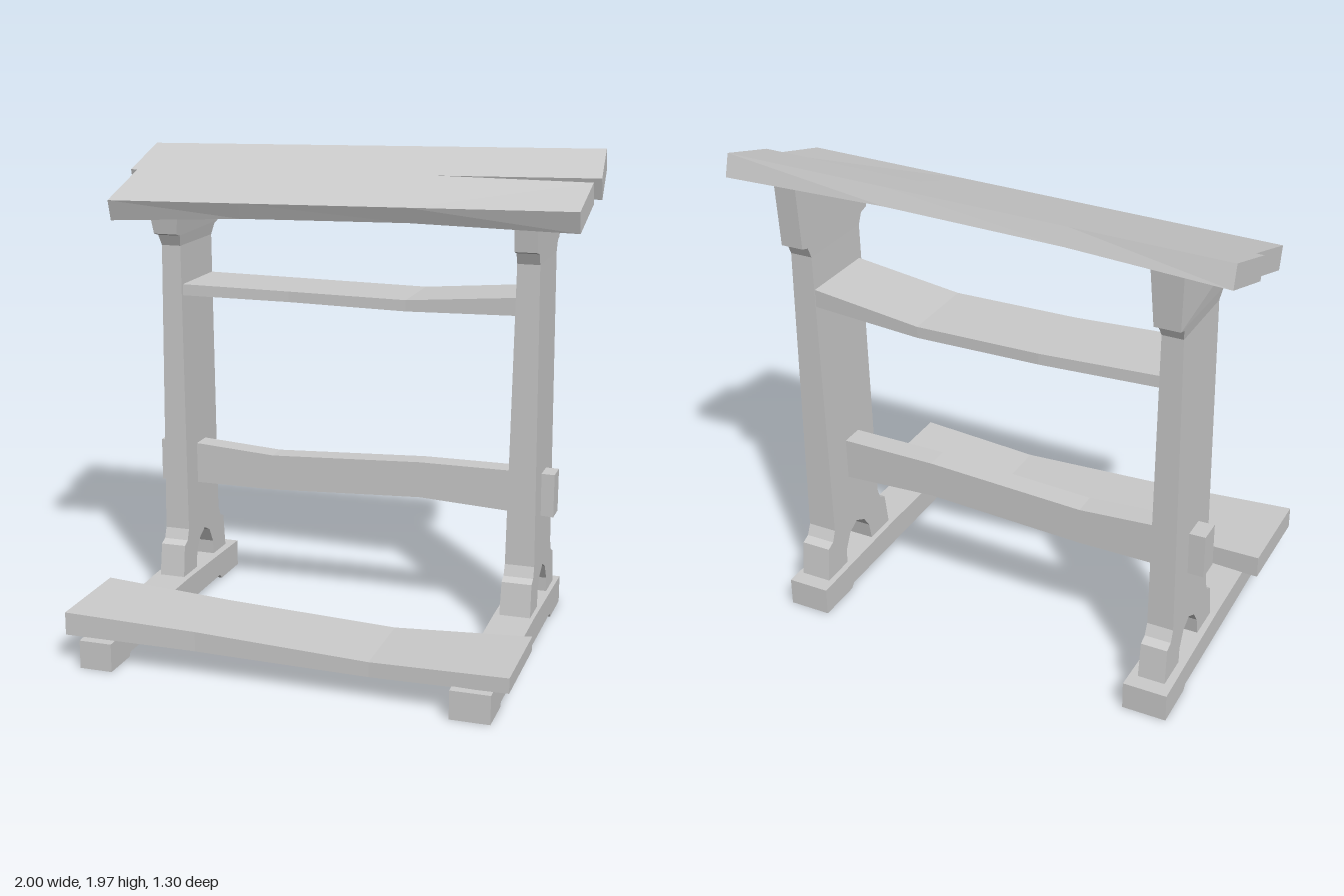
import * as THREE from 'three';

const material = new THREE.MeshStandardMaterial({ color: 0xcccccc, flatShading: true });

// Moves every vertex by a rule and makes a flat-shaded mesh.
function warp(name, geometry, rule) {
  const geo = geometry.index ? geometry.toNonIndexed() : geometry;
  const pos = geo.attributes.position;
  for (let i = 0; i < pos.count; i++) {
    pos.setXYZ(i, ...rule(pos.getX(i), pos.getY(i), pos.getZ(i)));
  }
  geo.computeVertexNormals();
  const mesh = new THREE.Mesh(geo, material);
  mesh.name = name;
  return mesh;
}

function extrude(points) {
  const shape = new THREE.Shape(points.map(([x, y]) => new THREE.Vector2(x, y)));
  return new THREE.ExtrudeGeometry(shape, { depth: 1, bevelEnabled: false });
}

// Side profile in (z, y), given a thickness in x by half(z, y) about a centre.
function sidePart(name, profile, centre, half) {
  return warp(name, extrude(profile), (z, y, w) => [centre + half(z, y) * (1 - 2 * w), y, z]);
}

// Uneven board along x; each station is [x, yLow, yHigh, zBack, zFront].
function board(name, stations) {
  const n = stations.length - 1;
  return warp(name, new THREE.BoxGeometry(1, 1, 1, n, 1, 1), (x, y, z) => {
    const [px, y0, y1, z0, z1] = stations[Math.round((x + 0.5) * n)];
    return [px, y < 0 ? y0 : y1, z < 0 ? z0 : z1];
  });
}

export function createModel() {
  const group = new THREE.Group();

  // Feet: long runners with a pad at each end
  const foot = [
    [0.65, 0], [0.65, 0.115], [0.2, 0.12], [-0.1, 0.125], [-0.4, 0.12], [-0.65, 0.115],
    [-0.65, 0], [-0.46, 0], [-0.44, 0.02], [0, 0.018], [0.48, 0.018], [0.49, 0],
  ];
  group.add(
    sidePart('rightFoot', foot, -0.75, (z) => 0.078 - 0.017 * z),
    sidePart('leftFoot', foot, 0.752, (z) => 0.082 - 0.006 * z),
  );

  // Uprights: flared head and base, arched opening at the bottom
  const arch = [
    [-0.445, 0.11], [-0.44, 0.18], [-0.405, 0.245], [-0.35, 0.273],
    [-0.295, 0.245], [-0.26, 0.195], [-0.245, 0.11],
  ];
  const upright = (drop) => [
    [-0.104, 0.11], [-0.125, 0.26], [-0.158, 0.275], [-0.175, 0.32], [-0.177, 1.555], [-0.157, 1.6],
    [-0.12, 1.61], [-0.104, 1.735 - drop], [-0.59, 1.89 - drop], [-0.57, 1.61], [-0.535, 1.6],
    [-0.515, 1.555], [-0.515, 0.32], [-0.535, 0.275], [-0.57, 0.26], [-0.587, 0.11], ...arch,
  ];
  group.add(
    sidePart('rightUpright', upright(0.03), -0.75, (z, y) =>
      0.056 - 0.01 * Math.min(y, 1.55) + Math.min(0.022, Math.max(0, y - 1.55) * 0.16)),
    sidePart('leftUpright', upright(0), 0.755, (z, y) => 0.065 - 0.014 * Math.min(y, 1.4)),
  );

  // Kneeling board at the front
  group.add(board('kneeler', [
    [-0.89, 0.12, 0.213, 0.212, 0.622],
    [-0.35, 0.11, 0.19, 0.24, 0.597],
    [0.35, 0.1, 0.16, 0.24, 0.597],
    [0.89, 0.12, 0.18, 0.212, 0.622],
  ]));

  // Stretcher passing through both uprights
  group.add(board('stretcher', [
    [-0.865, 0.5, 0.68, -0.385, -0.29],
    [-0.7, 0.5, 0.676, -0.385, -0.29],
    [-0.35, 0.5, 0.652, -0.385, -0.29],
    [0.3, 0.53, 0.682, -0.385, -0.29],
    [0.7, 0.508, 0.682, -0.385, -0.29],
    [0.865, 0.5, 0.68, -0.385, -0.29],
  ]));

  // Shelf between the uprights
  group.add(board('shelf', [
    [-0.73, 1.345, 1.392, -0.51, -0.19],
    [-0.25, 1.338, 1.382, -0.535, -0.22],
    [0.25, 1.33, 1.376, -0.535, -0.22],
    [0.73, 1.347, 1.42, -0.51, -0.19],
  ]));

  // Sloping top in plan (x, distance up the slope), with a split on one end
  const top = [
    [-0.97, 0], [-0.4, 0], [0.3, 0], [0.97, 0], [0.97, 0.495], [0.33, 0.51], [1, 0.512],
    [0.97, 1], [0.3, 1], [-0.4, 1], [-1, 1], [-1, 0.52], [-0.97, 0.52],
  ];
  group.add(warp('slopingTop', extrude(top), (x, s, w) => {
    const under = 1 - w;
    const sag = x > 0.9 && s > 0.4 && s < 0.5 ? 0.012 : 0;
    const bow = 0.027 * Math.max(0, 0.94 - x * x);
    return [
      x,
      1.785 + 0.18 * s + 0.018 * (x - 0.97) - sag - under * (0.086 - bow),
      -0.045 - 0.575 * s - 0.025 * under,
    ];
  }));

  return group;
}
